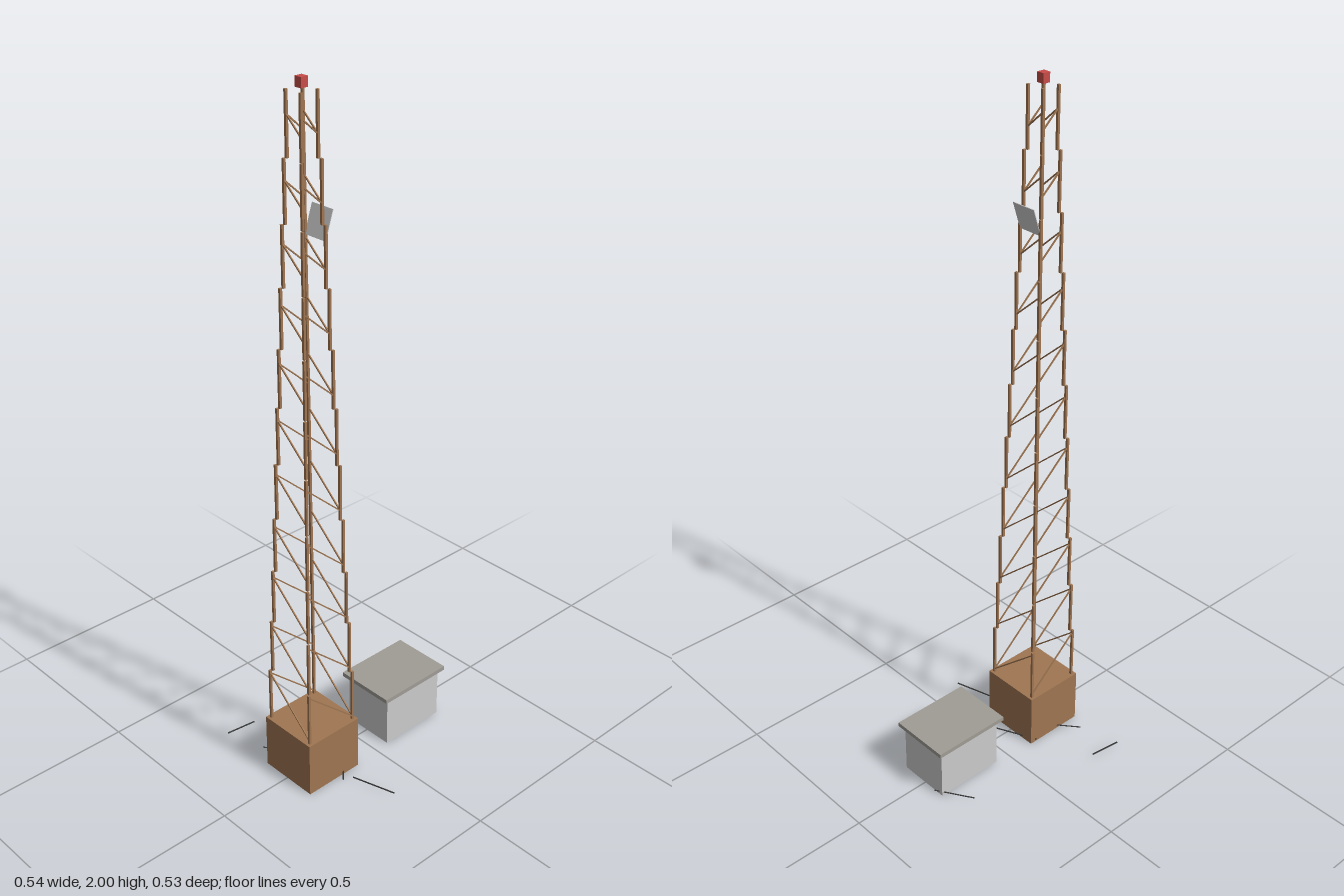
import * as THREE from 'three';

const mat = (color) => new THREE.MeshStandardMaterial({ color });
const brown = mat(0x9f7652);
const grey = mat(0xcccccc);
const roofGrey = mat(0xa09c95);
const red = mat(0xc84c48);
const dark = mat(0x3a3a3a);

function box(parent, name, material, size, pos) {
  const mesh = new THREE.Mesh(new THREE.BoxGeometry(...size), material);
  mesh.name = name;
  mesh.position.set(...pos);
  parent.add(mesh);
  return mesh;
}

// Square bar running between two points
function beam(parent, name, material, a, b, thickness) {
  const from = new THREE.Vector3(...a), to = new THREE.Vector3(...b);
  const mid = from.clone().add(to).multiplyScalar(0.5);
  const mesh = box(parent, name, material, [thickness, from.distanceTo(to), thickness], mid.toArray());
  mesh.quaternion.setFromUnitVectors(new THREE.Vector3(0, 1, 0), to.sub(from).normalize());
}

export function createModel() {
  const model = new THREE.Group();
  model.name = 'latticeTower';

  // Lattice tower on its footing
  const tower = new THREE.Group();
  tower.name = 'tower';
  tower.position.set(-0.176, 0, 0.005);
  model.add(tower);

  const footTop = 0.168, top = 1.97, bays = 11;
  const bayHeight = (top - footTop) / bays;
  box(tower, 'footing', brown, [0.185, footTop, 0.185], [0, footTop / 2, 0]);

  // Each bay is a little narrower than the one below
  for (let i = 0; i < bays; i++) {
    const bay = new THREE.Group();
    bay.name = 'bay' + (i + 1);
    tower.add(bay);
    const h = 0.081 - 0.0055 * i;
    const y = footTop + bayHeight * (i + 0.5);
    const rise = 0.9 * h;
    for (const s of [-1, 1]) {
      for (const t of [-1, 1]) box(bay, 'leg', brown, [0.007, bayHeight, 0.007], [s * h, y, t * h]);
      beam(bay, 'diagonalBrace', brown, [-h, y + rise, s * h], [h, y - rise, s * h], 0.0035);
      beam(bay, 'diagonalBrace', brown, [s * h, y + rise, -h], [s * h, y - rise, h], 0.0035);
    }
  }

  // Warning light and tilted panel
  box(tower, 'beacon', red, [0.022, 0.026, 0.022], [0, 1.987, 0]);
  const panel = box(tower, 'panel', grey, [0.002, 0.08, 0.075], [0.049, 1.638, 0]);
  panel.rotation.z = -0.32;

  // Equipment hut
  const hut = new THREE.Group();
  hut.name = 'hut';
  hut.position.set(0.15, 0, 0.005);
  model.add(hut);
  box(hut, 'walls', grey, [0.21, 0.16, 0.16], [0.001, 0.08, 0]);
  box(hut, 'roof', roofGrey, [0.24, 0.013, 0.185], [0, 0.1645, 0]);

  // Loose rods on the ground: x, z of both ends
  const rods = [
    [-0.272, -0.263, -0.181, -0.251],
    [-0.239, -0.142, -0.17, -0.06],
    [-0.103, -0.09, -0.042, 0.038],
    [-0.165, 0.123, -0.1, 0.055],
    [-0.138, 0.135, -0.1, 0.263],
    [0.2, -0.151, 0.264, -0.05],
  ];
  for (const [x1, z1, x2, z2] of rods) {
    beam(model, 'groundRod', dark, [x1, 0.009, z1], [x2, 0.009, z2], 0.003);
  }
  return model;
}
